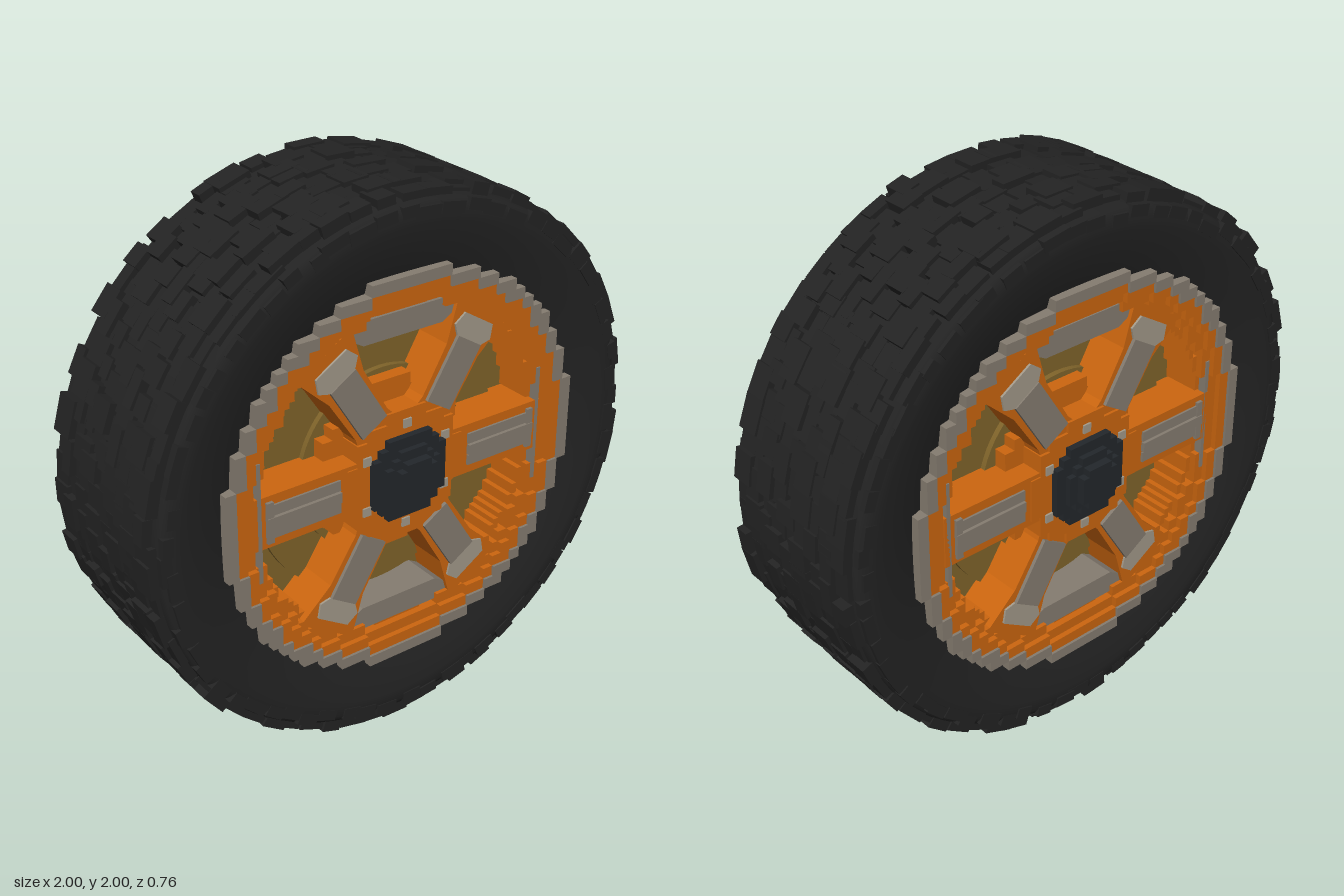
import * as THREE from 'three';
import { mergeGeometries } from 'three/addons/utils/BufferGeometryUtils.js';

const material = (name, color) => new THREE.MeshStandardMaterial({ name, color });

// Outline of a disc built from square blocks
function steppedOutline(radius, s = 0.04) {
  const q = [];
  for (let k = 0; k * s < radius + s; k++) {
    const mid = (k + 0.5) * s;
    const x = Math.round(Math.sqrt(Math.max(0, radius * radius - mid * mid)) / s) * s;
    if (x <= 0) break;
    if (k > 0 && x !== q[q.length - 1][0]) q.push([x, k * s]);
    q.push([x, (k + 1) * s]);
  }
  const r = [...q].reverse();
  return [
    ...q, ...r.map(([x, y]) => [-x, y]),
    ...q.map(([x, y]) => [-x, -y]), ...r.map(([x, y]) => [x, -y]),
  ].map(([x, y]) => new THREE.Vector2(x, y));
}

// Block-edged ring (or disc when inner is 0) between two depths
function steppedRing(outer, inner, z0, z1, s) {
  const shape = new THREE.Shape(steppedOutline(outer, s));
  if (inner) shape.holes.push(new THREE.Path(steppedOutline(inner, s)));
  return new THREE.ExtrudeGeometry(shape, { depth: z1 - z0, bevelEnabled: false }).translate(0, 0, z0);
}

function slab(points, z0, z1) {
  const shape = new THREE.Shape(points.map(([x, y]) => new THREE.Vector2(x, y)));
  return new THREE.ExtrudeGeometry(shape, { depth: z1 - z0, bevelEnabled: false }).translate(0, 0, z0);
}

function box(x0, x1, y0, y1, z0, z1) {
  return new THREE.BoxGeometry(x1 - x0, y1 - y0, z1 - z0)
    .translate((x0 + x1) / 2, (y0 + y1) / 2, (z0 + z1) / 2);
}

export function createModel() {
  const rubber = material('tyre black', 0x232323);
  const cap = material('cap charcoal', 0x23272b);
  const orange = material('rim orange', 0xcc660f);
  const grey = material('warm grey', 0x857c70);
  const pale = material('pale grey', 0xa39a8a);
  const gold = material('brake gold', 0x80642a);

  const wheel = new THREE.Group();
  wheel.name = 'wheel';
  const add = (parent, name, geometry, mat) => {
    const mesh = new THREE.Mesh(geometry, mat);
    mesh.name = name;
    parent.add(mesh);
    return mesh;
  };

  // Tyre carcass with smooth sidewalls
  const side = [[0.66, 0.27], [0.72, 0.29], [0.8, 0.312], [0.88, 0.325], [0.925, 0.325], [0.95, 0.31], [0.965, 0.29]];
  const profile = [
    ...side.map(([r, z]) => new THREE.Vector2(r, -z)),
    ...[...side].reverse().map(([r, z]) => new THREE.Vector2(r, z)),
  ];
  add(wheel, 'tyre', new THREE.LatheGeometry(profile, 96).rotateX(Math.PI / 2), rubber);

  // Irregular tread blocks around the circumference
  let seed = 7;
  const rand = () => (seed = (seed * 16807) % 2147483647) / 2147483647;
  const blocks = [];
  const rows = 9, count = 64;
  for (let row = 0; row < rows; row++) {
    const zMid = -0.3 + (row + 0.5) * 0.6 / rows;
    for (let i = 0; i < count; i++) {
      const top = 0.975 + Math.floor(rand() * 4) * 0.008;
      const length = 0.07 + rand() * 0.06;
      const width = 0.05 + rand() * 0.05;
      const z = Math.max(-0.3 + width / 2, Math.min(0.3 - width / 2, zMid + (rand() - 0.5) * 0.02));
      const angle = (i + (row % 3) / 3 + rand() * 0.3) / count * Math.PI * 2;
      blocks.push(new THREE.BoxGeometry(0.06, length, width).translate(top - 0.03, 0, z).rotateZ(angle));
    }
  }
  // Shoulder lugs on both edges
  for (const s of [-1, 1]) {
    for (let i = 0; i < count; i++) {
      const top = 0.935 + rand() * 0.025;
      blocks.push(new THREE.BoxGeometry(0.04, 0.06 + rand() * 0.05, 0.05)
        .translate(top - 0.02, 0, s * (0.3 + rand() * 0.006)).rotateZ((i + rand() * 0.4) / count * Math.PI * 2));
    }
  }
  add(wheel, 'tread', mergeGeometries(blocks), rubber);

  // Brake disc in the middle of the wheel
  add(wheel, 'brakeDisc', new THREE.CylinderGeometry(0.62, 0.62, 0.26, 64).rotateX(Math.PI / 2), gold);
  add(wheel, 'brakeRing', new THREE.CylinderGeometry(0.5, 0.5, 0.3, 64).rotateX(Math.PI / 2), gold);
  add(wheel, 'brakeHub', new THREE.CylinderGeometry(0.34, 0.34, 0.34, 64).rotateX(Math.PI / 2), gold);

  // One rim face, repeated on the other side
  function rimFace() {
    const face = new THREE.Group();
    face.name = 'rimFace';
    add(face, 'outerLip', steppedRing(0.72, 0.68, 0.1, 0.325), grey);
    add(face, 'rimRing', steppedRing(0.68, 0.64, 0.1, 0.315), orange);
    add(face, 'rimStep', steppedRing(0.64, 0.6, 0.1, 0.295), orange);
    add(face, 'innerLip', steppedRing(0.6, 0.58, 0.1, 0.27, 0.02), orange);

    // Grey inserts at the top and bottom of the rim
    for (const s of [0, Math.PI]) {
      add(face, 'rimInsert', slab([[-0.16, 0.5], [0.16, 0.5], [0.23, 0.54], [0.23, 0.585], [-0.23, 0.585], [-0.23, 0.54]],
        0.12, 0.28).rotateZ(s), grey);
    }
    // Thin grey blades beside the horizontal spokes
    for (const x of [-0.59, 0.58]) {
      add(face, 'rimBlade', box(x, x + 0.015, -0.22, 0.22, 0.12, 0.3), grey);
    }

    // Hub layers
    add(face, 'hubBack', steppedRing(0.31, 0, 0.1, 0.22), orange);
    add(face, 'hub', steppedRing(0.235, 0, 0.1, 0.305), orange);
    for (let i = 0; i < 6; i++) {
      const a = Math.PI / 6 + i * Math.PI / 3;
      const x = Math.cos(a) * 0.19, y = Math.sin(a) * 0.19;
      add(face, 'hubBolt', box(x - 0.016, x + 0.016, y - 0.016, y + 0.016, 0.29, 0.312), pale);
    }

    // Six spokes, the diagonal ones with angled end caps
    for (const degrees of [0, 58, 122, 180, 238, 302]) {
      const spoke = new THREE.Group();
      spoke.name = 'spoke';
      spoke.rotation.z = THREE.MathUtils.degToRad(degrees);
      face.add(spoke);
      if (degrees % 180 === 0) {
        add(spoke, 'spokeBeam', box(0.18, 0.6, -0.095, 0.095, 0.1, 0.3), orange);
        for (const y of [-0.042, 0, 0.042]) {
          add(spoke, 'spokeBar', box(0.27, 0.56, y - 0.019, y + 0.019, 0.28, y === 0 ? 0.315 : 0.308), grey);
        }
        add(spoke, 'spokeFrame', box(0.535, 0.56, -0.075, 0.075, 0.28, 0.312), grey);
      } else {
        add(spoke, 'spokeBeam', slab([[0.16, -0.1], [0.26, -0.075], [0.45, -0.08], [0.61, -0.125],
          [0.61, 0.125], [0.45, 0.08], [0.26, 0.075], [0.16, 0.1]], 0.1, 0.295), orange);
        add(spoke, 'spokePlate', box(0.25, 0.49, -0.057, 0.057, 0.28, 0.308), grey);
        add(spoke, 'spokeEnd', slab([[0.49, -0.06], [0.52, -0.09], [0.57, -0.07], [0.57, 0.07],
          [0.52, 0.09], [0.49, 0.06]], 0.28, 0.303), pale);
      }
    }

    // Stepped centre cap
    add(face, 'capBase', steppedRing(0.155, 0, 0.28, 0.33, 0.03), cap);
    add(face, 'capStep', steppedRing(0.11, 0, 0.32, 0.35, 0.0275), cap);
    add(face, 'capTip', steppedRing(0.075, 0, 0.34, 0.38, 0.025), cap);
    return face;
  }
  const front = rimFace();
  const back = rimFace();
  back.rotation.y = Math.PI;
  wheel.add(front, back);

  wheel.position.y = 1;
  const model = new THREE.Group();
  model.name = 'wheelModel';
  model.add(wheel);
  return model;
}
